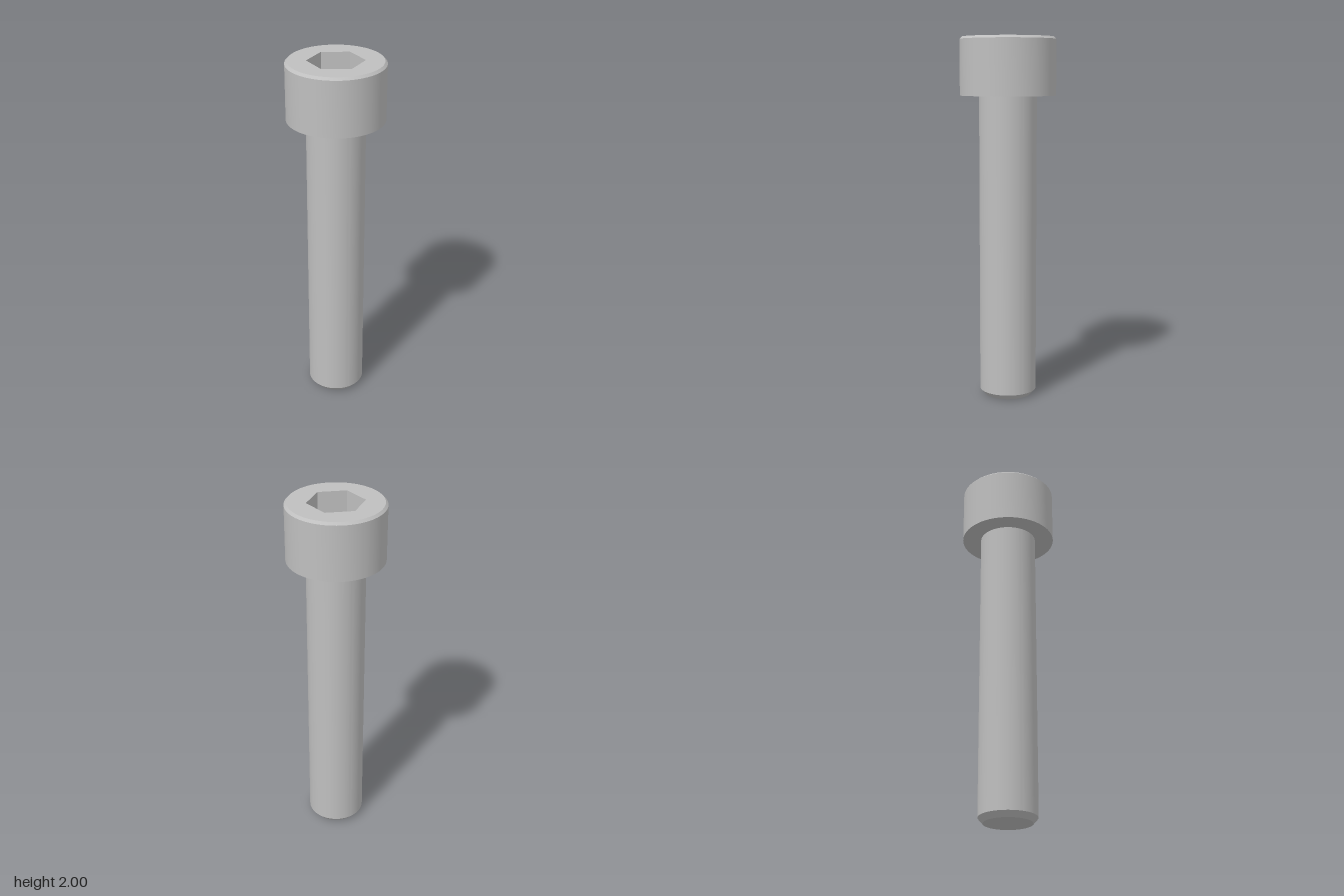
import * as THREE from 'three';
import { toCreasedNormals } from 'three/addons/utils/BufferGeometryUtils.js';

const SEGMENTS = 96;
const SHAFT_R = 0.158, HEAD_R = 0.263, HEAD_BASE = 1.684, TOP = 2;
const RIM_R = 0.25, TIP_R = 0.132, TIP_H = 0.03;
const HEX_R = 0.152, SOCKET_FLOOR = TOP - 0.158;

// Turned surface with crisp edges; points run upwards for an outward face
function turned(points, sides) {
  const profile = points.map(([r, y]) => new THREE.Vector2(r, y));
  return toCreasedNormals(new THREE.LatheGeometry(profile, sides), 0.4);
}

export function createModel() {
  const model = new THREE.Group();
  model.name = 'socketHeadBolt';
  const steel = new THREE.MeshStandardMaterial({ color: 0xbfbfbf });
  steel.name = 'steel grey';

  const add = (name, geometry) => {
    const mesh = new THREE.Mesh(geometry, steel);
    mesh.name = name;
    model.add(mesh);
  };

  // Shaft with chamfered tip
  add('shaft', turned([[TIP_R, 0], [SHAFT_R, TIP_H], [SHAFT_R, HEAD_BASE]], SEGMENTS));
  add('shaftTip', new THREE.CircleGeometry(TIP_R, SEGMENTS).rotateX(Math.PI / 2));

  // Head: underside, side and chamfered rim
  add('head', turned(
    [[SHAFT_R, HEAD_BASE], [HEAD_R, HEAD_BASE], [HEAD_R, TOP - 0.013], [RIM_R, TOP]], SEGMENTS));

  // Flat top with a hexagonal opening
  const face = new THREE.Shape().absarc(0, 0, RIM_R, 0, Math.PI * 2);
  const corners = Array.from({ length: 6 }, (_, i) => new THREE.Vector2(
    HEX_R * Math.cos(i * Math.PI / 3), HEX_R * Math.sin(i * Math.PI / 3)));
  face.holes.push(new THREE.Path(corners));
  add('headTop', new THREE.ShapeGeometry(face, SEGMENTS).rotateX(-Math.PI / 2).translate(0, TOP, 0));

  // Hex socket: walls face inwards, floor faces up
  add('socketWalls', turned([[HEX_R, TOP], [HEX_R, SOCKET_FLOOR]], 6).rotateY(Math.PI / 6));
  add('socketFloor', new THREE.CircleGeometry(HEX_R, 6)
    .rotateX(-Math.PI / 2).translate(0, SOCKET_FLOOR, 0));

  return model;
}
